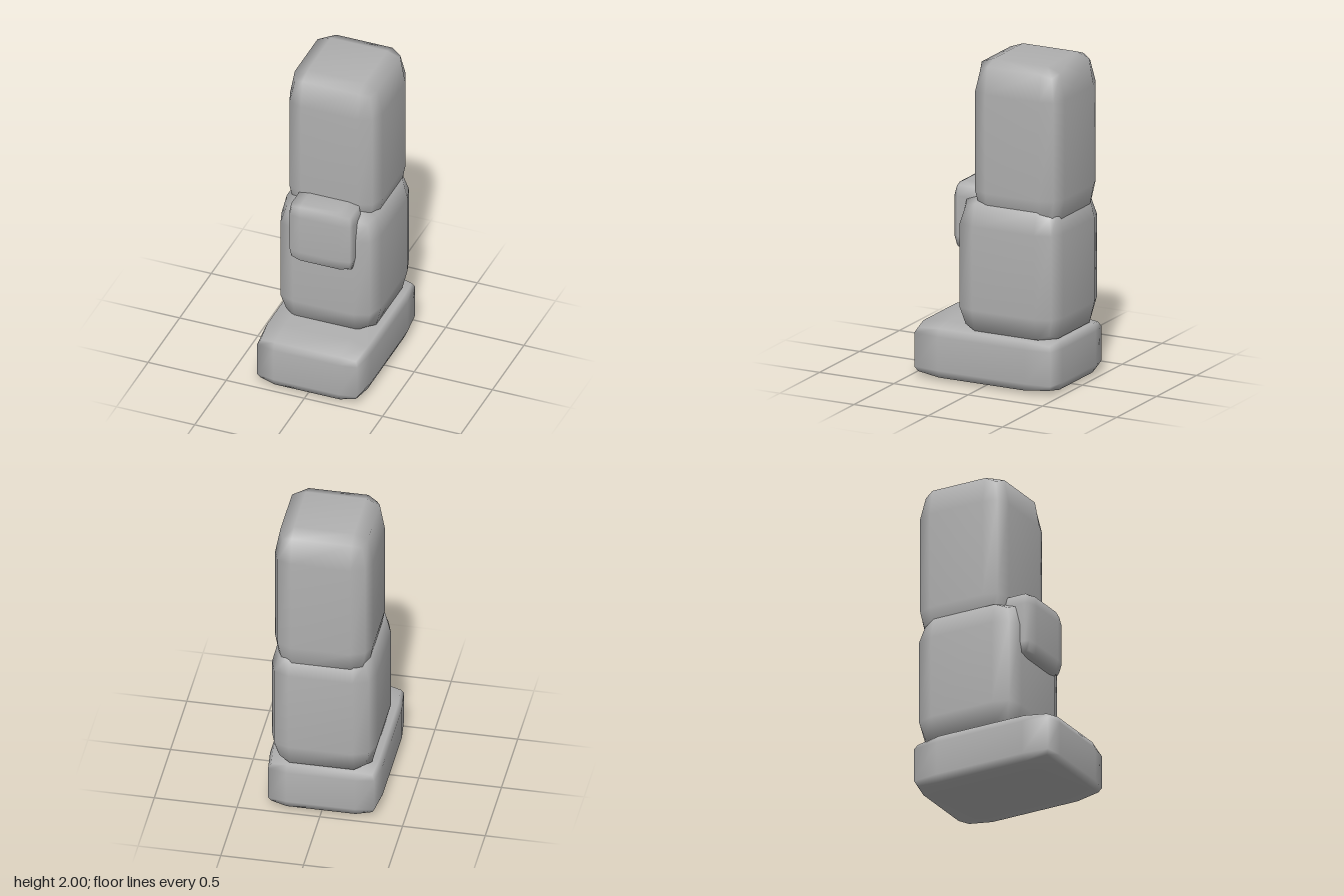
import * as THREE from 'three';
import { mergeVertices } from 'three/addons/utils/BufferGeometryUtils.js';

const INNER = 0.61; // where the flat middle of every face ends

// Box of 3 x 3 x 3 cells with edges and corners pulled inwards, smooth shaded
function softBlock(halfSize, pull) {
  let geo = new THREE.BoxGeometry(2, 2, 2, 3, 3, 3);
  geo.deleteAttribute('normal');
  geo.deleteAttribute('uv');
  geo = mergeVertices(geo, 1e-3);
  const pos = geo.attributes.position;
  for (let i = 0; i < pos.count; i++) {
    const p = [pos.getX(i), pos.getY(i), pos.getZ(i)];
    const extremes = p.filter((v) => Math.abs(v) > 0.9).length;
    const inset = [0, 0, 1, 1.8][extremes] * pull;
    const q = p.map((v, k) =>
      Math.sign(v) * (Math.abs(v) > 0.9 ? halfSize[k] - inset : halfSize[k] * INNER));
    pos.setXYZ(i, q[0], q[1], q[2]);
  }
  geo.computeVertexNormals();
  return geo;
}

export function createModel() {
  const group = new THREE.Group();
  group.name = 'blockyLeg';
  const grey = new THREE.MeshStandardMaterial({ color: 0xb0b0b0 });
  grey.name = 'plain grey';

  // name, centre, half size, edge pull
  const parts = [
    ['foot', [0, 0.173, 0], [0.341, 0.171, 0.478], 0.02],
    ['shin', [0, 0.725, -0.136], [0.319, 0.425, 0.341], 0.033],
    ['thigh', [0, 1.5, -0.184], [0.296, 0.5, 0.295], 0.031],
    ['kneePad', [0, 0.998, 0.17], [0.205, 0.203, 0.1], 0.013],
  ];
  for (const [name, centre, halfSize, pull] of parts) {
    const mesh = new THREE.Mesh(softBlock(halfSize, pull), grey);
    mesh.name = name;
    mesh.position.set(...centre);
    group.add(mesh);
  }
  return group;
}
